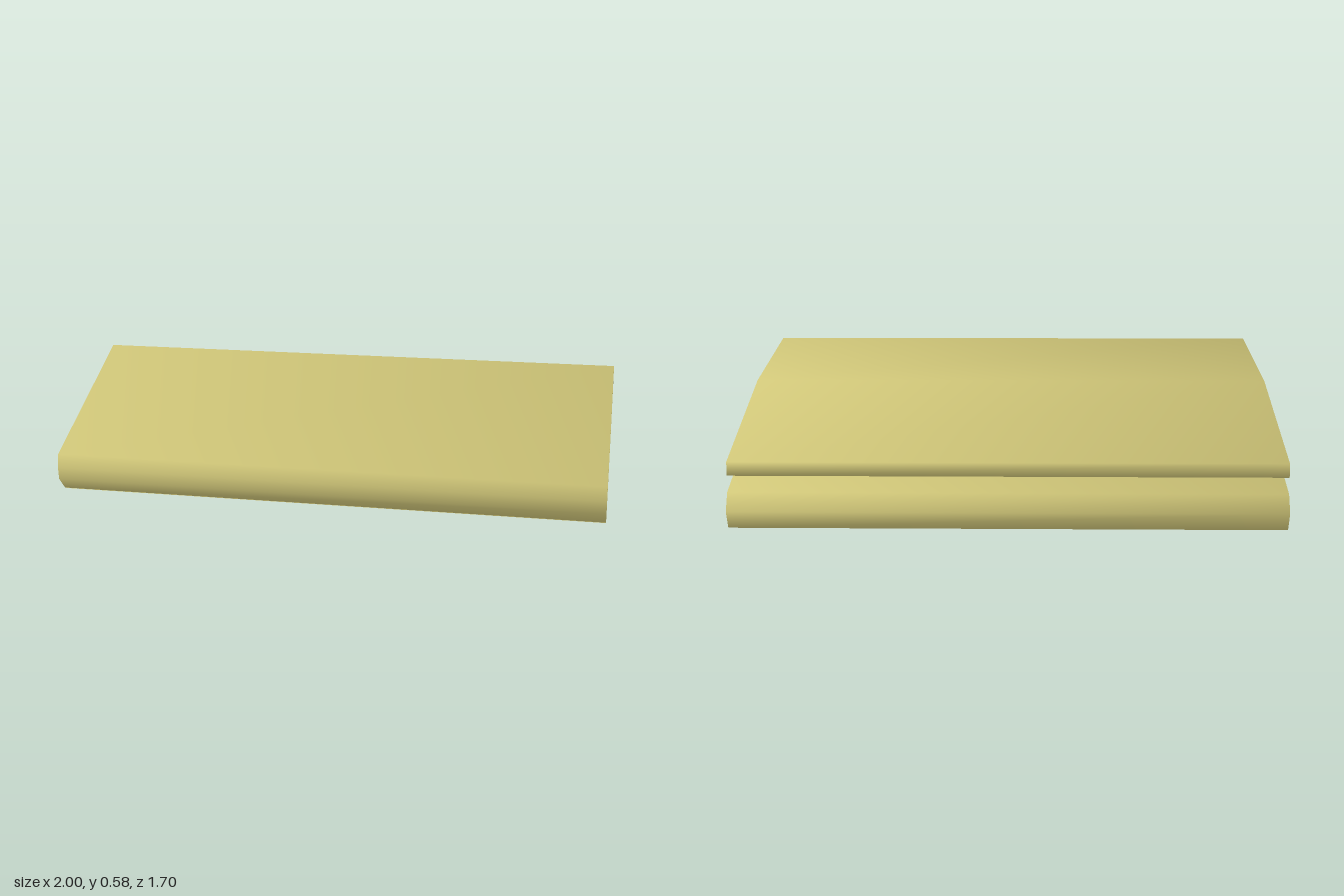
import * as THREE from 'three';

// Outline of the folded cloth seen from the side, as [z, y], starting at the loose top edge
const OUTLINE = [
  // outside of the top layer
  [-0.82, 0.24], [-0.27, 0.465], [0.27, 0.585], [0.84, 0.29],
  // front fold
  [0.85, 0.24], [0.845, 0.195], [0.8, 0.147],
  // underside of the middle layer, down into the back fold
  [0.27, 0.155], [-0.27, 0.315], [-0.815, 0.07],
  // bottom layer: upper side, front tip, underside
  [0.27, 0.065], [0.79, 0.142], [0.27, 0.005], [-0.82, 0],
  // back fold
  [-0.85, 0.065], [-0.82, 0.13],
  // upper side of the middle layer, up into the front fold
  [-0.27, 0.37], [0.27, 0.21], [0.825, 0.235],
  // inside of the top layer
  [0.27, 0.53], [-0.27, 0.41], [-0.82, 0.19],
];

// Sweeps an outline across x, with normals rounded softly over every edge
function softSweep(outline, halfWidth) {
  const pts = outline.map(([z, y]) => new THREE.Vector2(z, y));
  const n = pts.length;
  const edgeNormal = (a, b) => new THREE.Vector2(a.y - b.y, b.x - a.x).normalize();
  const positions = [], normals = [], index = [];

  for (const side of [-1, 1]) {
    pts.forEach((p, i) => {
      const m = edgeNormal(pts[(i + n - 1) % n], p).add(edgeNormal(p, pts[(i + 1) % n])).normalize();
      const normal = new THREE.Vector3(side, m.y, m.x).normalize();
      positions.push(side * halfWidth, p.y, p.x);
      normals.push(normal.x, normal.y, normal.z);
    });
  }

  // long faces
  for (let i = 0; i < n; i++) {
    const j = (i + 1) % n;
    index.push(i, j, i + n, j, j + n, i + n);
  }

  // both ends
  for (const [a, b, c] of THREE.ShapeUtils.triangulateShape(pts.slice(), [])) {
    const ccw = THREE.ShapeUtils.area([pts[a], pts[b], pts[c]]) > 0;
    const [p, q] = ccw ? [b, c] : [c, b];
    index.push(a, p, q, a + n, q + n, p + n);
  }

  const geometry = new THREE.BufferGeometry();
  geometry.setAttribute('position', new THREE.Float32BufferAttribute(positions, 3));
  geometry.setAttribute('normal', new THREE.Float32BufferAttribute(normals, 3));
  geometry.setIndex(index);
  return geometry;
}

export function createModel() {
  const group = new THREE.Group();
  group.name = 'foldedTowel';
  const cloth = new THREE.MeshStandardMaterial({ color: 0xd9cf7e });
  cloth.name = 'paleYellowCloth';
  const towel = new THREE.Mesh(softSweep(OUTLINE, 1), cloth);
  towel.name = 'foldedCloth';
  group.add(towel);
  return group;
}
